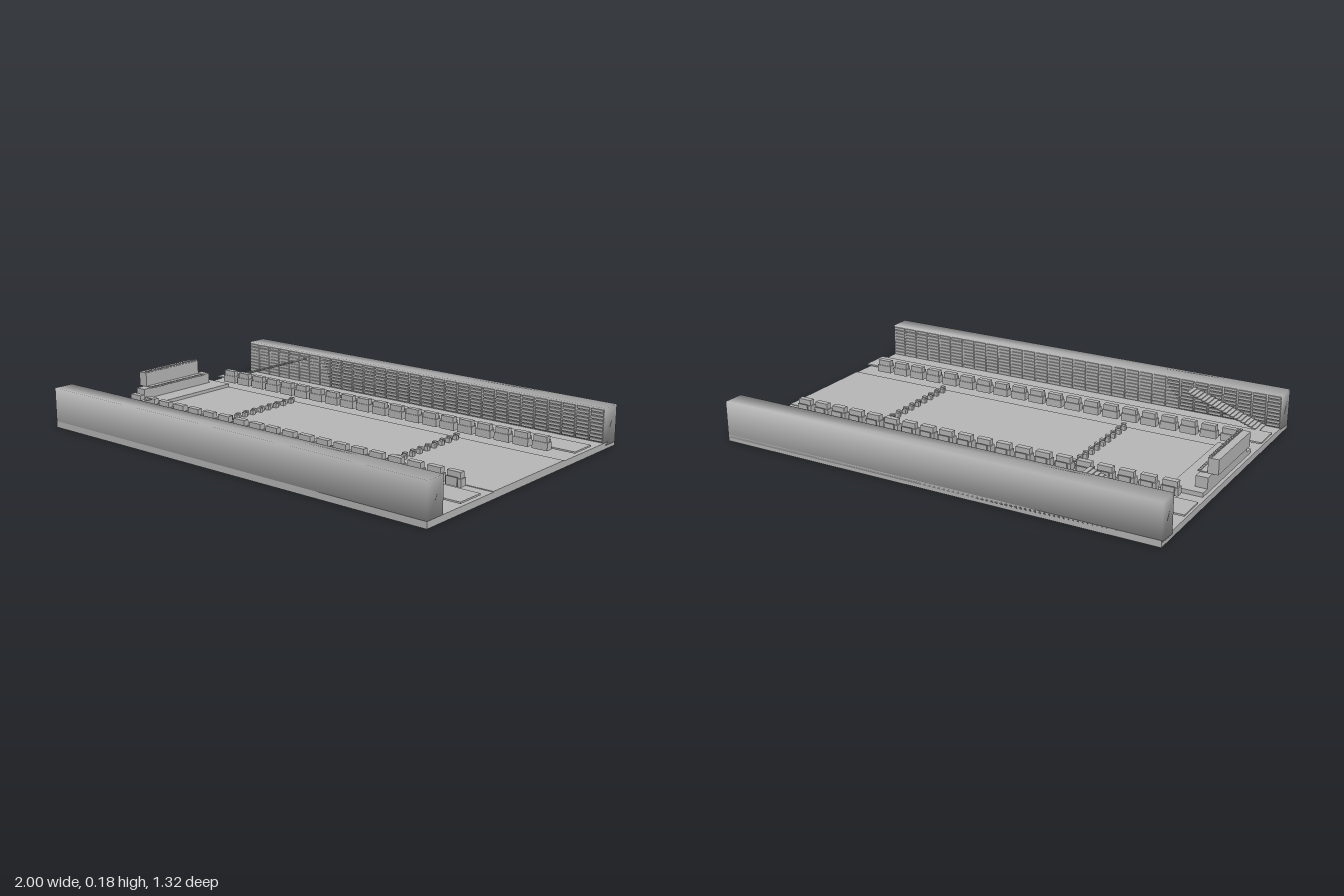
import * as THREE from 'three';
import { mergeVertices } from 'three/addons/utils/BufferGeometryUtils.js';

const grey = new THREE.MeshStandardMaterial({ color: 0xb8b8b8 });
grey.name = 'stone grey';

// Box given by its minimum and maximum corners; soft boxes share their corner normals
function box(parent, name, [x0, y0, z0], [x1, y1, z1], soft = false) {
  let geo = new THREE.BoxGeometry(x1 - x0, y1 - y0, z1 - z0);
  if (soft) {
    geo.deleteAttribute('normal');
    geo.deleteAttribute('uv');
    geo = mergeVertices(geo);
    geo.computeVertexNormals();
  }
  const mesh = new THREE.Mesh(geo, grey);
  mesh.name = name;
  mesh.position.set((x0 + x1) / 2, (y0 + y1) / 2, (z0 + z1) / 2);
  parent.add(mesh);
  return mesh;
}

// Many equal boxes drawn as one part
function repeat(parent, name, size, centres) {
  const group = new THREE.Group();
  group.name = name;
  const geo = new THREE.BoxGeometry(...size);
  for (const c of centres) {
    const mesh = new THREE.Mesh(geo, grey);
    mesh.name = name + 'Piece';
    mesh.position.set(...c);
    group.add(mesh);
  }
  parent.add(group);
}

const range = (n, f) => Array.from({ length: n }, (_, i) => f(i));

// Everything that stands along one long side (s = 1 or -1)
function buildSide(s) {
  const side = new THREE.Group();
  side.name = s > 0 ? 'frontSide' : 'backSide';
  const span = (name, x0, x1, y0, y1, za, zb, soft) =>
    box(side, name, [x0, y0, Math.min(s * za, s * zb)], [x1, y1, Math.max(s * za, s * zb)], soft);

  // Outer wall with rows of small panels on its inner face
  span('wall', -0.99, 1, 0.015, 0.177, 0.568, 0.662, true);
  const panels = [];
  for (let row = 0; row < 9; row++)
    for (let col = 0; col < 30; col++)
      panels.push([-0.957 + col * 0.0663, 0.039 + row * 0.0155, s * 0.5655]);
  repeat(side, 'wallPanels', [0.058, 0.011, 0.007], panels);

  // Raised walkway
  span('walkway', -0.99, 1, 0.039, 0.046, 0.334, 0.462);

  // Open stair treads rising along the wall
  repeat(side, 'stairTreads', [0.018, 0.0045, 0.084],
    range(20, i => [-0.925 + i * 0.0167, 0.0425 + i * 0.0057, s * 0.501]));

  // Row of seats with cushions, and thin plates behind them
  const xs = range(20, i => -0.865 + i * 0.0911);
  repeat(side, 'seatBases', [0.072, 0.033, 0.032], xs.map(x => [x, 0.0575, s * 0.301]));
  repeat(side, 'seatTops', [0.062, 0.024, 0.025], xs.map(x => [x, 0.086, s * 0.301]));
  repeat(side, 'seatBacks', [0.05, 0.034, 0.006], xs.map(x => [x, 0.063, s * 0.326]));
  return side;
}

export function createModel() {
  const model = new THREE.Group();
  model.name = 'hall';

  // Ground slab and central floor
  box(model, 'baseSlab', [-0.99, 0, -0.662], [1, 0.028, 0.662]);
  box(model, 'centralFloor', [-0.975, 0.028, -0.25], [1, 0.031, 0.25]);

  model.add(buildSide(1), buildSide(-1));

  // Staggered low blocks crossing the floor
  for (const x of [-0.415, 0.5])
    repeat(model, 'floorDivider', [0.018, 0.02, 0.016],
      range(20, i => [x + (i % 2 ? 0.007 : -0.007), 0.04, -0.24 + i * 0.02526]));

  // Stage at the far end with a desk and a raised panel
  box(model, 'stage', [-0.975, 0.028, -0.25], [-0.834, 0.046, 0.25]);
  box(model, 'desk', [-0.975, 0.046, -0.208], [-0.925, 0.092, 0.208]);
  box(model, 'raisedPanel', [-1, 0.092, -0.166], [-0.955, 0.156, 0.166]);
  const zs = range(17, i => -0.156 + i * 0.0195);
  repeat(model, 'panelTopStuds', [0.012, 0.007, 0.012], zs.map(z => [-0.962, 0.159, z]));
  repeat(model, 'deskStuds', [0.012, 0.007, 0.012], zs.map(z => [-0.92, 0.0945, z]));
  box(model, 'deskRail', [-0.95, 0.092, -0.166], [-0.914, 0.096, 0.166]);
  return model;
}
